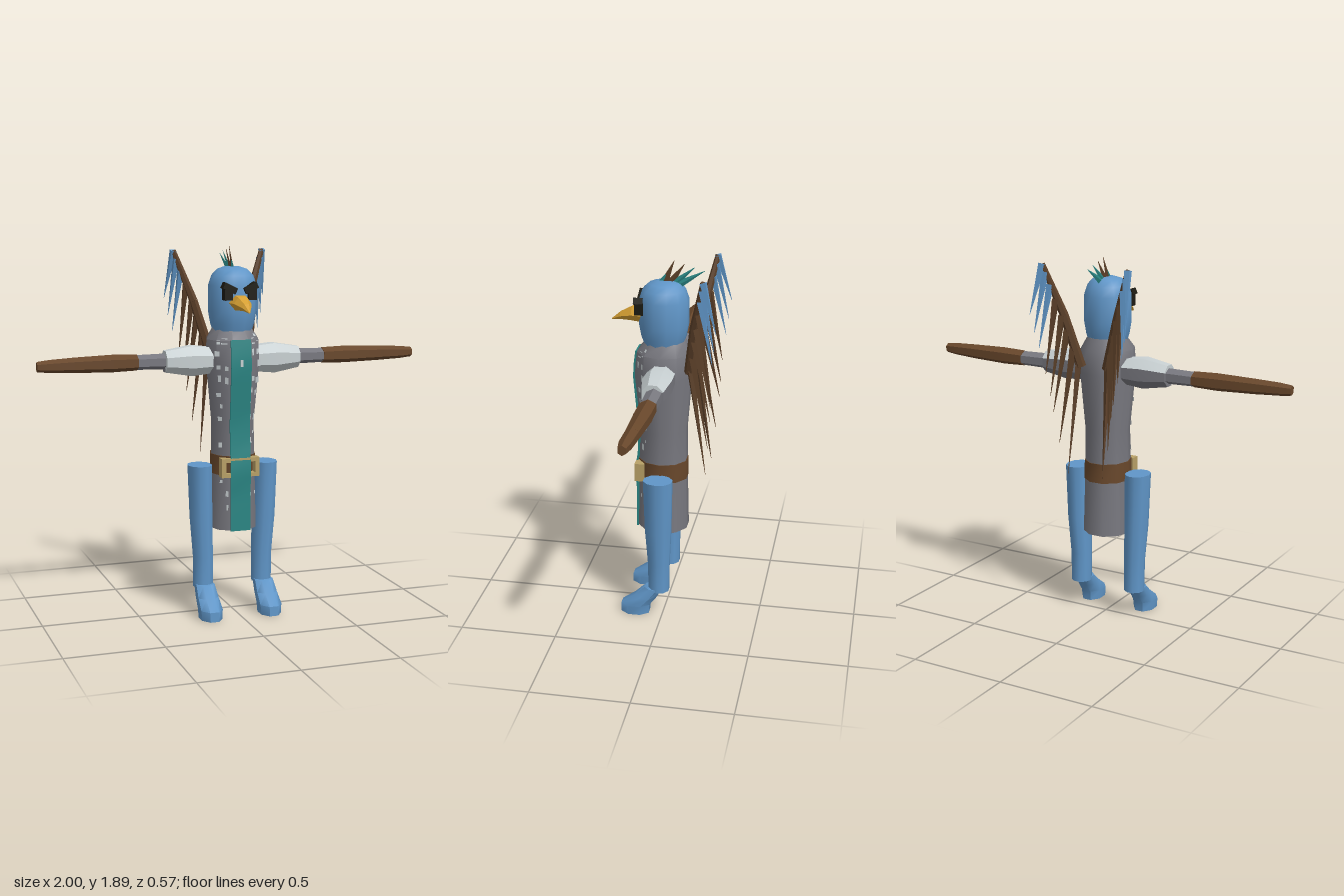
import * as THREE from 'three';
import { toCreasedNormals } from 'three/addons/utils/BufferGeometryUtils.js';

const mat = (name, color, side = THREE.FrontSide) => {
  const m = new THREE.MeshStandardMaterial({ color, side });
  m.name = name;
  return m;
};

// Rings are [y, radiusX, radiusZ, centreZ, centreX]; keep(angle) picks the sides to build
function loft(rings, sides, crease = 0.75, keep = () => true, caps = true) {
  const pos = [];
  const point = ([y, rx, rz, cz = 0, cx = 0], k) => {
    const a = ((k - 0.5) / sides) * Math.PI * 2;
    return [cx + rx * Math.sin(a), y, cz + rz * Math.cos(a)];
  };
  const centre = ([y, , , cz = 0, cx = 0]) => [cx, y, cz];
  const first = rings[0], last = rings[rings.length - 1];
  for (let k = 0; k < sides; k++) {
    if (!keep((k / sides) * Math.PI * 2)) continue;
    for (let i = 0; i < rings.length - 1; i++) {
      const a = point(rings[i], k), b = point(rings[i], k + 1);
      const c = point(rings[i + 1], k + 1), d = point(rings[i + 1], k);
      pos.push(...a, ...b, ...c, ...a, ...c, ...d);
    }
    if (caps) {
      pos.push(...centre(first), ...point(first, k + 1), ...point(first, k));
      pos.push(...centre(last), ...point(last, k), ...point(last, k + 1));
    }
  }
  const g = new THREE.BufferGeometry();
  g.setAttribute('position', new THREE.Float32BufferAttribute(pos, 3));
  return toCreasedNormals(g, crease);
}

const BODY = [
  [0.45, 0.125, 0.133, 0.022], [0.8, 0.115, 0.127, 0.024], [1.0, 0.112, 0.122, 0.02],
  [1.3, 0.14, 0.148, 0.022], [1.42, 0.137, 0.14, 0.02], [1.48, 0.1, 0.1, 0.01],
];

// Body cross-section at any height
function bodyRing(y, grow = 1) {
  let i = 0;
  while (i < BODY.length - 2 && y > BODY[i + 1][0]) i++;
  const t = (y - BODY[i][0]) / (BODY[i + 1][0] - BODY[i][0]);
  const r = BODY[i].map((v, j) => THREE.MathUtils.lerp(v, BODY[i + 1][j], t));
  return [y, r[1] * grow, r[2] * grow, r[3]];
}

export function createModel() {
  const model = new THREE.Group();
  const blue = mat('blue skin', 0x6096c8), grey = mat('grey cloth', 0x78787f);
  const pale = mat('pale cloth', 0xc8d0d2, THREE.DoubleSide), teal = mat('teal', 0x2a8583);
  const brown = mat('brown leather', 0x68472b), bark = mat('dark brown feather', 0x5c4029);
  const gold = mat('beak gold', 0xd6a033), tan = mat('buckle tan', 0xb8a066);
  const black = mat('black', 0x1c1a12);

  const add = (name, geometry, material, parent = model) => {
    const m = new THREE.Mesh(geometry, material);
    m.name = name;
    parent.add(m);
    return m;
  };
  // Tapered rod or spike between two points
  const spike = (name, a, b, r0, r1, material, parent, sides = 4) => {
    const A = new THREE.Vector3(...a), B = new THREE.Vector3(...b), d = B.clone().sub(A);
    const g = new THREE.CylinderGeometry(r1, r0, d.length(), sides).toNonIndexed();
    g.computeVertexNormals();
    const m = add(name, g, material, parent);
    m.position.copy(A).add(B).multiplyScalar(0.5);
    m.quaternion.setFromUnitVectors(new THREE.Vector3(0, 1, 0), d.normalize());
    return m;
  };

  // Robe and belt
  add('robe', loft(BODY, 10), grey);
  add('belt', loft([bodyRing(0.735, 1.03), bodyRing(0.835, 1.03)], 10), brown);

  // Buckle frame
  const frame = new THREE.Shape([[-0.1, 0.73], [0.1, 0.73], [0.1, 0.827], [-0.1, 0.827]].map(p => new THREE.Vector2(...p)));
  frame.holes.push(new THREE.Path([[-0.077, 0.75], [-0.077, 0.807], [0.077, 0.807], [0.077, 0.75]].map(p => new THREE.Vector2(...p))));
  const buckle = add('buckle', new THREE.ExtrudeGeometry(frame, { depth: 0.05, bevelEnabled: false }), tan);
  buckle.position.z = 0.108;

  // Hanging cloth that follows the front of the robe
  const strip = new THREE.BoxGeometry(0.106, 0.975, 0.008, 1, 14, 1);
  strip.translate(0, 0.9375, 0);
  const sp = strip.attributes.position;
  for (let i = 0; i < sp.count; i++) {
    const [, , rz, cz] = bodyRing(sp.getY(i));
    const lift = Math.abs(sp.getY(i) - 0.78) < 0.07 ? 0.012 : 0.004;
    sp.setZ(i, sp.getZ(i) + cz + rz * Math.cos(Math.PI / 10) + lift);
  }
  strip.computeVertexNormals();
  add('frontCloth', strip, teal);
  add('clothMark', new THREE.BoxGeometry(0.012, 0.035, 0.004), pale).position.set(0, 1.31, 0.172);

  // Pale flecks over the front sides of the robe
  let seed = 7;
  const rnd = () => (seed = (seed * 16807) % 2147483647) / 2147483647;
  const fleck = [];
  const skin = (y, s, t) => {
    const [, rx, rz, cz] = bodyRing(y, 1.012);
    const a = Math.PI / 10, b = 3 * a;
    const mix = f => THREE.MathUtils.lerp(f(a), f(b), t);
    return [s * rx * mix(Math.sin), y, cz + rz * mix(Math.cos)];
  };
  for (const s of [-1, 1]) {
    for (let y = 0.55; y < 1.45; y += 0.065) {
      if (y > 0.69 && y < 0.85) continue;
      for (const t of [0.25, 0.72]) {
        if (rnd() > 0.35 + (y - 0.55) * 0.6) continue;
        const t0 = t + rnd() * 0.1, t1 = t0 + 0.1 + 0.22 * rnd() * y;
        const y0 = y + rnd() * 0.02, y1 = y0 + 0.015 + 0.02 * rnd();
        const [a, b, c, d] = [skin(y0, s, t0), skin(y0, s, t1), skin(y1, s, t1), skin(y1, s, t0)];
        fleck.push(...(s > 0 ? [a, b, c, a, c, d] : [b, a, d, b, d, c]).flat());
      }
    }
  }
  const fg = new THREE.BufferGeometry();
  fg.setAttribute('position', new THREE.Float32BufferAttribute(fleck, 3));
  fg.computeVertexNormals();
  add('robeFlecks', fg, pale);

  // Head and beak
  const head = new THREE.Group();
  head.name = 'head';
  model.add(head);
  add('skull', loft([
    [1.46, 0.1, 0.1, 0.02], [1.5, 0.112, 0.114, 0.02], [1.56, 0.122, 0.125, 0.02], [1.69, 0.122, 0.125, 0.02],
    [1.74, 0.105, 0.108, 0.02], [1.77, 0.075, 0.08, 0.015], [1.782, 0.04, 0.045, 0.01],
  ], 12, 0.9), blue, head);
  const beak = loft([
    [0.12, 0.055, 0.045, -1.608], [0.18, 0.046, 0.037, -1.607], [0.24, 0.024, 0.02, -1.592], [0.285, 0.003, 0.003, -1.57],
  ], 6, 0.1);
  beak.rotateX(Math.PI / 2);
  add('beak', beak, gold, head);

  // Crest spikes, flattened sideways
  [
    [0.03, 1.77, 0.0, 1.83, teal], [0.02, 1.77, -0.03, 1.885, bark], [-0.01, 1.77, -0.08, 1.87, bark],
    [-0.03, 1.77, -0.13, 1.855, teal], [-0.05, 1.765, -0.18, 1.84, teal],
  ].forEach(([z0, y0, z1, y1, m]) => {
    spike('crestFeather', [0, y0, z0], [0, y1, z1], 0.02, 0.001, m, head).scale.x = 0.4;
  });

  for (const s of [-1, 1]) {
    const side = s > 0 ? 'left' : 'right';

    // Eye and slanting brow
    add(side + 'Eye', new THREE.BoxGeometry(0.042, 0.062, 0.045), black, head).position.set(s * 0.062, 1.653, 0.133);
    const brow = add(side + 'Brow', new THREE.BoxGeometry(0.072, 0.032, 0.045), black, head);
    brow.position.set(s * 0.055, 1.682, 0.136);
    brow.rotation.z = s * 0.45;

    // Arm: sleeve with a shaded cloth lining, forearm, glove and hand
    const arm = new THREE.Group();
    arm.name = side + 'Arm';
    model.add(arm);
    const armPart = (name, rings, sides, material, keep, caps) => {
      const g = loft(rings, sides, 0.6, keep, caps);
      g.rotateZ(-s * Math.PI / 2);
      if (s < 0) g.translate(0, 0, 0);
      add(name, g, material, arm).position.y = 1.315;
    };
    const sleeve = [[0.09, 0.068, 0.075, 0.015], [0.22, 0.082, 0.08, 0.015], [0.355, 0.058, 0.058, 0.012]];
    const under = a => Math.cos(a) < 0.1 && s * Math.sin(a) > -0.1;
    armPart('sleeve', sleeve, 8, pale, a => !under(a));
    armPart('sleeveUnderside', sleeve, 8, grey, under);
    armPart('forearm', [[0.34, 0.04, 0.044, 0.005], [0.5, 0.037, 0.042, 0.005]], 6, grey);
    armPart('glove', [[0.495, 0.04, 0.046, 0.005], [0.62, 0.044, 0.046, 0.006], [0.82, 0.038, 0.036, 0.013]], 6, brown);
    armPart('hand', [[0.815, 0.038, 0.036, 0.013], [0.94, 0.032, 0.033, 0.02], [1.0, 0.025, 0.022, 0.022]], 6, brown);

    // Leg and foot
    const x = s * 0.16;
    add(side + 'Leg', loft([
      [0.14, 0.053, 0.055, 0.02, x], [0.3, 0.054, 0.058, 0.02, x], [0.5, 0.06, 0.07, 0.021, s * 0.17], [0.78, 0.064, 0.077, 0.022, s * 0.176],
    ], 10), blue);
    add(side + 'Foot', loft([
      [0, 0.058, 0.08, 0.146, x], [0.05, 0.062, 0.082, 0.143, x], [0.1, 0.058, 0.065, 0.09, x], [0.155, 0.053, 0.052, 0.045, x],
    ], 8, 0.9), blue);

    // Wing: a rising arm with hanging feathers
    const wing = new THREE.Group();
    wing.name = side + 'Wing';
    model.add(wing);
    const root = [s * 0.075, 1.34, -0.12], bend = [s * 0.15, 1.6, -0.155], tip = [s * 0.24, 1.855, -0.21];
    spike('wingBase', root, bend, 0.026, 0.022, bark, wing, 6);
    spike('wingArm', bend, tip, 0.022, 0.013, bark, wing, 6);
    [
      [1, 0.272, 1.61, -0.28, blue], [0.92, 0.255, 1.52, -0.268, blue], [0.8, 0.235, 1.44, -0.258, blue],
      [0.66, 0.205, 1.31, -0.245, bark], [0.5, 0.18, 1.2, -0.243, bark], [0.36, 0.165, 1.12, -0.24, bark],
      [0.2, 0.14, 0.96, -0.226, bark], [0.06, 0.1, 0.8, -0.21, bark],
    ].forEach(([t, ex, ey, ez, m]) => {
      const start = root.map((v, i) => THREE.MathUtils.lerp(v, tip[i], t));
      spike('wingFeather', start, [s * ex, ey, ez], 0.02, 0.001, m, wing);
    });
  }
  return model;
}
